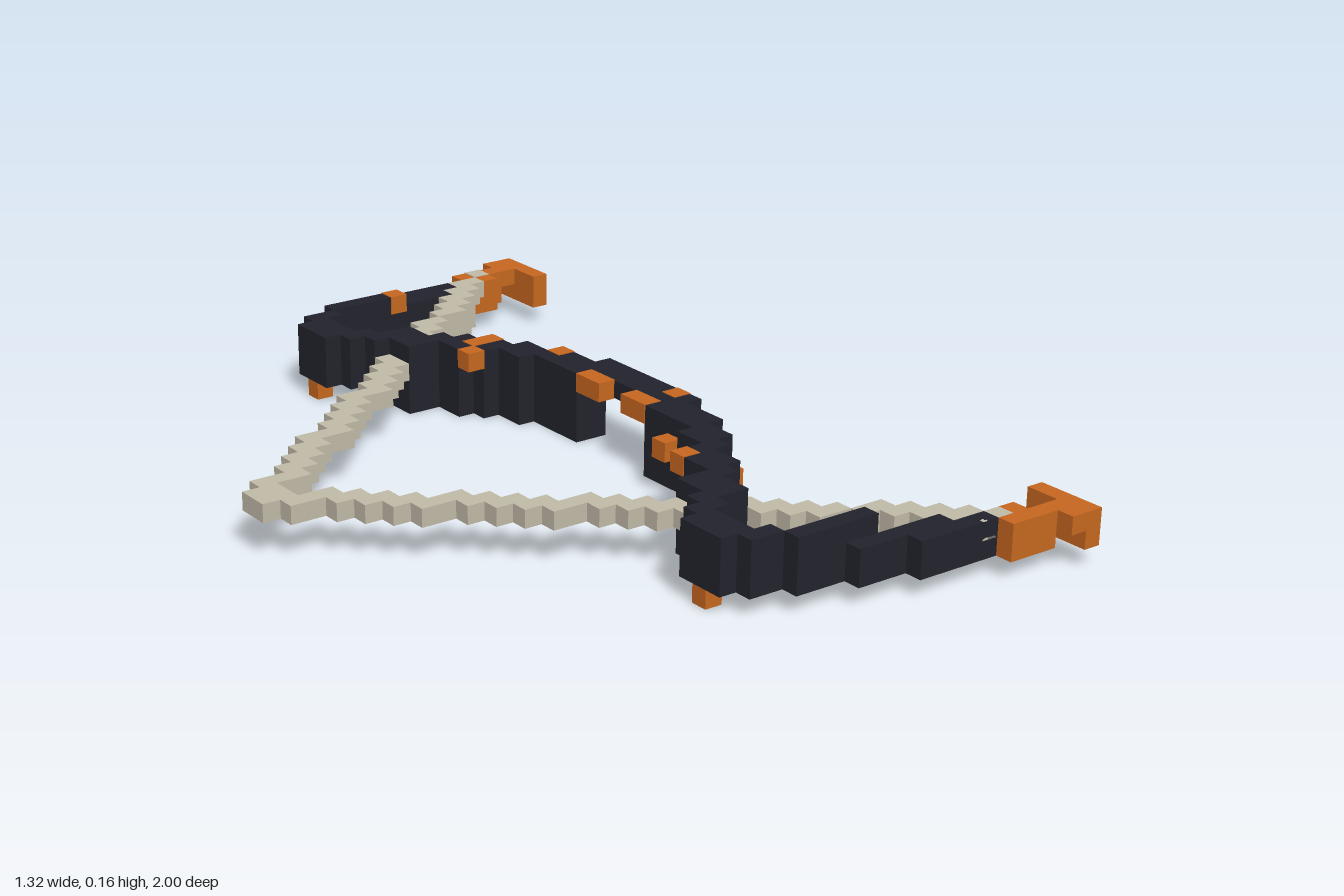
import * as THREE from 'three';
import { mergeGeometries } from 'three/addons/utils/BufferGeometryUtils.js';

const U = 0.04; // one block

const mat = (name, color) => {
  const m = new THREE.MeshStandardMaterial({ color });
  m.name = name;
  return m;
};

// Box between block coordinates; x counts from the drawn end, z from the middle.
function block(x0, x1, y0, y1, z0, z1, side = 1, grow = 0) {
  const g = new THREE.BoxGeometry((x1 - x0) * U + grow, (y1 - y0) * U + grow, (z1 - z0) * U + grow);
  g.translate(((x0 + x1) / 2 - 16.5) * U, ((y0 + y1) / 2) * U, (side * (z0 + z1) / 2) * U);
  return g;
}

// Limb rows from grip to tip: first and last block in x.
const LIMB = [
  [23, 25], [23, 25], [23, 25], [22, 24], [22, 24], [22, 24], [22, 24], [21, 23],
  [21, 23], [20, 22], [19, 21], [19, 21], [17, 20], [17, 19], [16, 19], [15, 17],
  [14, 16], [14, 16], [14, 16], [15, 17], [17, 22], [20, 26], [23, 28],
];
const limbHeight = (k) => (k < 3 ? [3, 4] : k < 15 ? [0, 4] : k < 21 ? [1, 4] : [1, 3]);

// String rows: first and last block in x.
const STRING = [
  [0, 2], [1, 4], [3, 5], [4, 6], [5, 7], [6, 9], [8, 10], [9, 11], [10, 12], [11, 14], [13, 15], [14, 16],
  [15, 17], [16, 18], [18, 20], [19, 21], [20, 22], [21, 23], [23, 25], [24, 26], [25, 27], [26, 28], [27, 29],
];

// Single bright blocks: x, y, row, side, height.
const STUDS = [
  [22, 3, 1, 1], [22, 3, 2, 1], [22, 3, 1, -1], [22, 3, 2, -1], [24, 3, 2, 1],
  [23, 3, 6, -1], [20, 3, 10, -1], [21, 1, 10, -1, 3], [19, 3, 9, -1], [19, 3, 9, 1],
  [21, 2, 10, 1], [21, 0, 9, 1], [21, 2, 5, 1], [14, 0, 17, 1], [14, 0, 17, -1], [21, 3, 20, -1],
];

export function createModel() {
  const dark = mat('dark wood', 0x22222c);
  const orange = mat('orange trim', 0xc4661f);
  const pale = mat('pale string', 0xbfb8a6);
  const model = new THREE.Group();
  model.name = 'bow';
  const add = (name, geos, material) => {
    const mesh = new THREE.Mesh(mergeGeometries(geos), material);
    mesh.name = name;
    model.add(mesh);
  };

  for (const side of [1, -1]) {
    const label = side > 0 ? 'front' : 'back';

    // Stepped limb, with the grip's outer lip
    const limb = LIMB.map(([a, b], k) => block(a, b, ...limbHeight(k), k, k + 1, side));
    limb.push(block(24, 25, 3, 4, 3, 4, side));
    add(label + 'Limb', limb, dark);

    // Drawn string, thicker near the limb's bend
    add(label + 'String', STRING.map(([a, b], k) =>
      block(a, b, k === 14 || (k >= 17 && k <= 20) ? 1 : 2, 3, k, k + 1, side)), pale);

    // Hooked tip
    add(label + 'Tip', [
      block(28, 31, 1, 3, 23, 24, side),
      block(28, 29, 1, 2, 22, 23, side),
      block(29, 30, 1, 3, 22, 23, side),
      block(31, 33, 2, 3, 23, 25, side),
      block(32, 33, 1, 2, 21, 25, side),
      block(32, 33, 2, 3, 21, 23, side),
    ], orange);
  }

  // Knot over the back tip
  add('stringKnot', [block(29, 30, 2, 3, 23, 24, -1, 0.003)], pale);

  // Scattered studs, a hair proud of the limb
  add('studs', STUDS.map(([x, y, k, side, h = 1]) =>
    block(x, x + 1, y, y + h, k, k + 1, side, y === 0 ? 0 : 0.003)), orange);
  return model;
}
